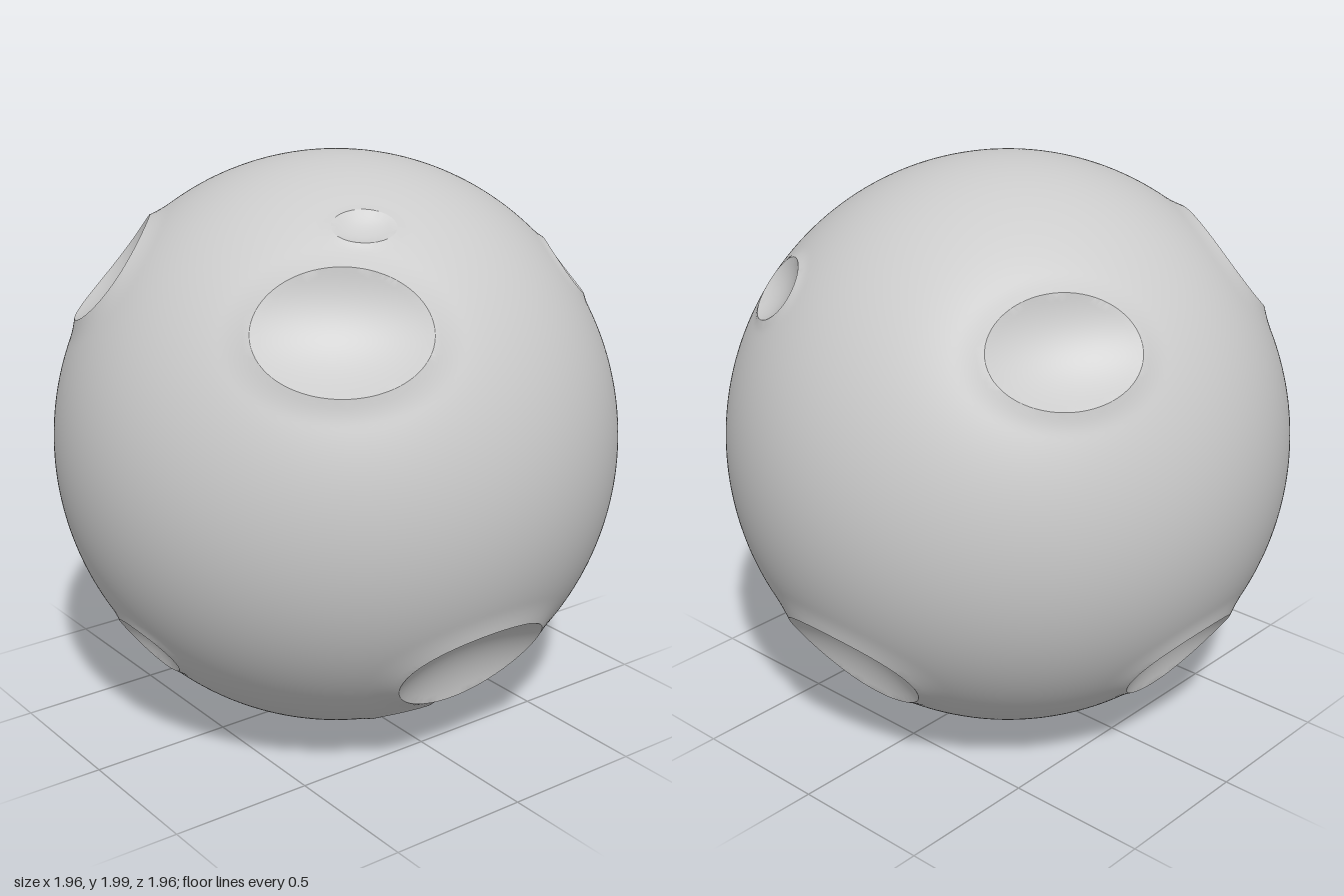
import * as THREE from 'three';
import { mergeVertices, toCreasedNormals } from 'three/addons/utils/BufferGeometryUtils.js';

const R = 0.982;      // body radius
const STRETCH = 1.015; // slight stretch along y
const UP = new THREE.Vector3(0, 1, 0);

// Craters: direction x, y, z, half width, half height
const craters = [
  [-0.45, 0.59, 0.64, 0.28, 0.21],
  [-0.23, 0.86, 0.46, 0.105, 0.075],
  [0.64, 0.59, 0.435, 0.15, 0.115],
  [0.45, 0.59, -0.64, 0.245, 0.185],
  [-0.62, 0.6, -0.44, 0.285, 0.213],
  [-0.015, -0.585, 0.8, 0.285, 0.21],
  [0.8, -0.585, 0.005, 0.285, 0.21],
  [0, -0.585, -0.8, 0.245, 0.185],
  [-0.79, -0.585, 0, 0.155, 0.117],
  [-0.085, -0.85, 0.49, 0.11, 0.078],
].map(([x, y, z, a, b]) => {
  const n = new THREE.Vector3(x, y, z).normalize();
  const across = new THREE.Vector3().crossVectors(UP, n).normalize();
  const along = new THREE.Vector3().crossVectors(n, across);
  return { n, across, along, a, b, depth: 0.28 * b, lip: 0.06 * b };
});

// Press one point of the sphere into an oval bowl with a raised lip
function press(p, c) {
  if (p.dot(c.n) < 0.5) return;
  let u = p.dot(c.across), v = p.dot(c.along);
  let e = Math.hypot(u / c.a, v / c.b);
  if (e > 1.35) return;

  // pull points close to the rim onto it, for a clean edge
  if (e > 0 && Math.abs(e - 1) < 0.011 / c.b) {
    u /= e;
    v /= e;
    e = 1;
  }
  let w = Math.sqrt(R * R - u * u - v * v);
  if (e <= 1) {
    const k = e > 1e-6 ? 1 / (e * e) : 0;
    const rim = Math.sqrt(R * R - (u * u + v * v) * k) + c.lip;
    const floor = Math.sqrt(R * R - c.a * c.b) + c.lip - c.depth;
    w = floor + (rim - floor) * e * e;
  } else {
    w += c.lip * (1 - (e - 1) / 0.35) ** 2;
  }
  p.copy(c.n).multiplyScalar(w).addScaledVector(c.across, u).addScaledVector(c.along, v);
}

export function createModel() {
  const group = new THREE.Group();
  group.name = 'crateredBall';

  // Evenly divided sphere, welded so the creases are found reliably
  let geometry = new THREE.IcosahedronGeometry(R, 64);
  geometry.deleteAttribute('normal');
  geometry.deleteAttribute('uv');
  geometry = mergeVertices(geometry, 1e-4);

  const pos = geometry.attributes.position;
  const p = new THREE.Vector3();
  for (let i = 0; i < pos.count; i++) {
    p.fromBufferAttribute(pos, i);
    for (const c of craters) press(p, c);
    pos.setXYZ(i, p.x, p.y * STRETCH, p.z);
  }

  // Smooth body with sharp rims (enlarged while the creases are worked out)
  geometry.scale(50, 50, 50);
  geometry = toCreasedNormals(geometry, 0.4);
  geometry.scale(0.02, 0.02, 0.02);

  const body = new THREE.Mesh(geometry, new THREE.MeshStandardMaterial({ color: 0xcccccc }));
  body.name = 'crateredSurface';
  body.position.y = 1.002;
  group.add(body);
  return group;
}
